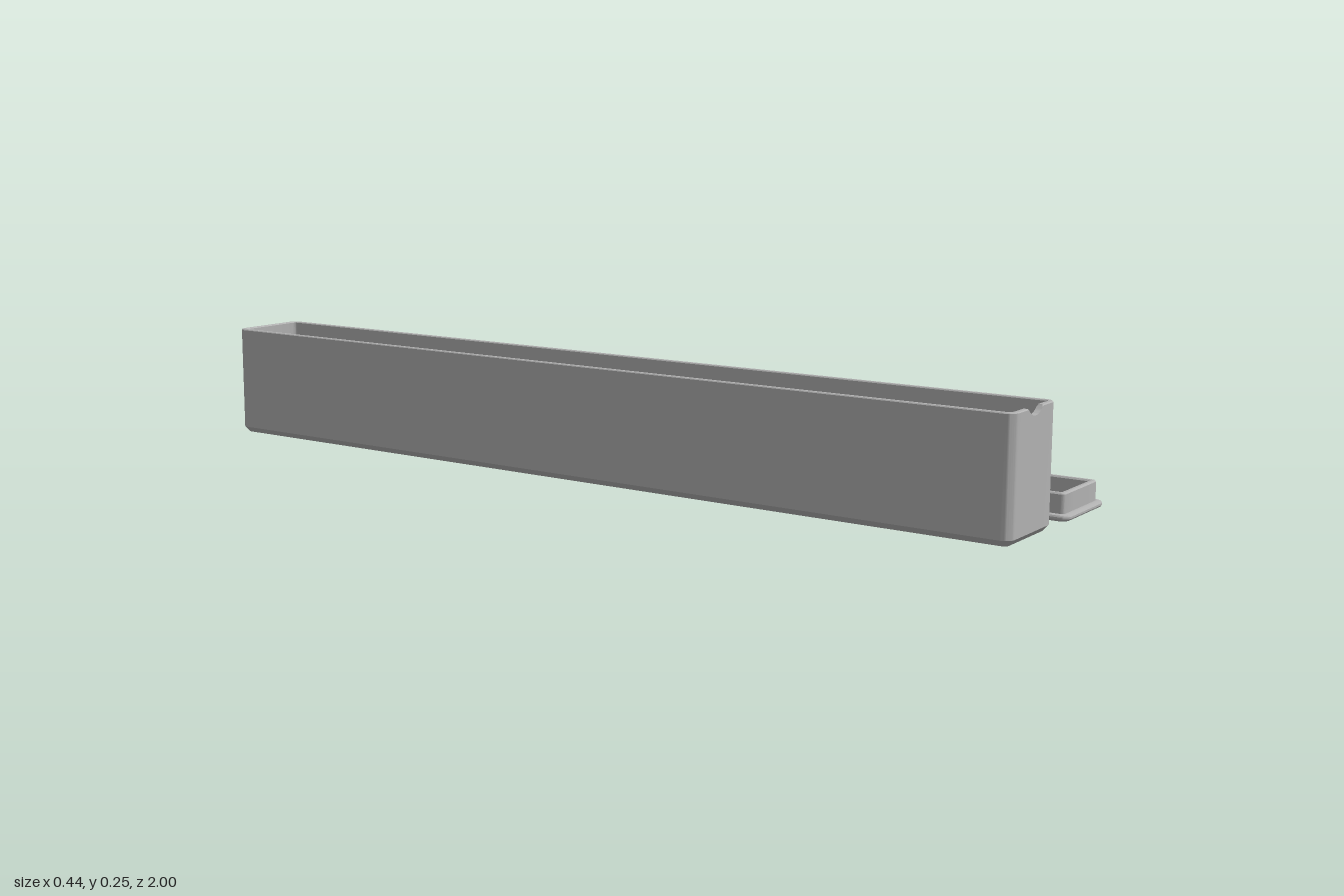
import * as THREE from 'three';
import { toCreasedNormals } from 'three/addons/utils/BufferGeometryUtils.js';

const HALF_W = 0.093, HALF_L = 1, RADIUS = 0.021, HEIGHT = 0.248;
const NOTCH_HALF = 0.032, NOTCH_R = 0.04, NOTCH_Y = HEIGHT + 0.024;

// Rounded rectangle outline, with extra points along the front edge for the notch
function outline(inset) {
  const r = Math.max(RADIUS - inset, 0.006);
  const w = HALF_W - inset - r, l = HALF_L - inset - r;
  const points = [];
  [[1, 1], [-1, 1], [-1, -1], [1, -1]].forEach(([sx, sz], corner) => {
    for (let i = 0; i <= 8; i++) {
      const a = (corner + i / 8) * Math.PI / 2;
      points.push([sx * w + r * Math.cos(a), sz * l + r * Math.sin(a)]);
    }
    if (corner === 0) {
      for (let i = 0; i <= 20; i++) points.push([NOTCH_HALF * (1 - i / 10), l + r]);
    }
  });
  return points;
}

// Finger notch: lowers the front rim to a circular arc
function notched(x, y, z) {
  if (z < 0.9 || Math.abs(x) > NOTCH_HALF) return y;
  return Math.min(y, NOTCH_Y - Math.sqrt(NOTCH_R ** 2 - x * x));
}

// Closed tray: profile of [inset, y] runs from underside, over the rim, to the inner floor
function tray(profile, heightRule = (x, y) => y) {
  const positions = [], index = [];
  const n = outline(0).length;
  for (const [inset, y] of profile) {
    for (const [x, z] of outline(inset)) positions.push(x, heightRule(x, y, z), z);
  }
  for (let k = 0; k < profile.length - 1; k++) {
    for (let j = 0; j < n; j++) {
      const a = k * n + j, b = k * n + (j + 1) % n;
      index.push(a, a + n, b, b, a + n, b + n);
    }
  }
  const last = (profile.length - 1) * n, base = profile.length * n;
  positions.push(0, profile[0][1], 0, 0, profile[profile.length - 1][1], 0);
  for (let j = 0; j < n; j++) {
    const next = (j + 1) % n;
    index.push(base, j, next, base + 1, last + next, last + j);
  }
  const geometry = new THREE.BufferGeometry();
  geometry.setAttribute('position', new THREE.Float32BufferAttribute(positions, 3));
  geometry.setIndex(index);
  return toCreasedNormals(geometry, 0.5);
}

export function createModel() {
  const group = new THREE.Group();
  const grey = new THREE.MeshStandardMaterial({ color: 0xb3b3b3 });
  grey.name = 'grey plastic';

  // Deep box with chamfered foot and notched rim
  const box = new THREE.Mesh(tray([
    [0.012, 0], [0, 0.013], [0, HEIGHT - 0.002], [0.002, HEIGHT],
    [0.01, HEIGHT], [0.012, HEIGHT - 0.002], [0.012, 0.022], [0.02, 0.013],
  ], notched), grey);
  box.name = 'box';
  box.position.x = -0.127;

  // Lid lying upside down: bevelled plate with a raised inner lip
  const lid = new THREE.Mesh(tray([
    [0.006, 0], [0.002, 0.002], [0, 0.005], [0, 0.009], [0.002, 0.012], [0.005, 0.013],
    [0.013, 0.013], [0.013, 0.051], [0.016, 0.054],
    [0.022, 0.054], [0.025, 0.051], [0.025, 0.013],
  ]), grey);
  lid.name = 'lid';
  lid.position.x = 0.127;

  group.add(box, lid);
  return group;
}
